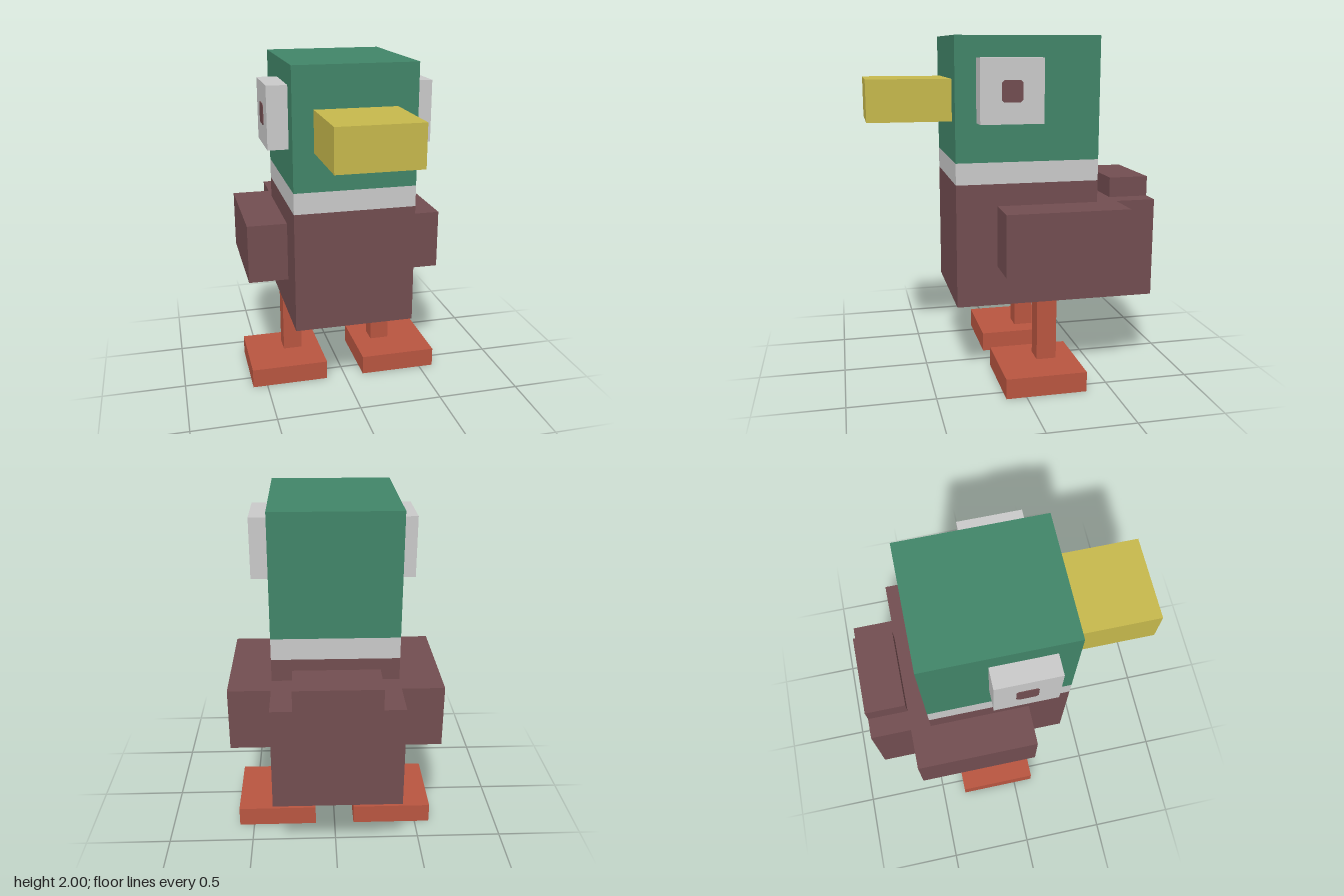
import * as THREE from 'three';

const U = 2 / 17; // one block unit

function material(name, color) {
  const m = new THREE.MeshStandardMaterial({ color });
  m.name = name;
  return m;
}

export function createModel() {
  const green = material('green', 0x418568);
  const brown = material('brown', 0x724d50);
  const white = material('white', 0xc9c9c9);
  const yellow = material('yellow', 0xc6b84c);
  const orange = material('orange', 0xb85540);

  const model = new THREE.Group();
  model.name = 'duck';

  // Box from minimum and maximum corners, in block units
  function block(name, mat, [x0, y0, z0], [x1, y1, z1]) {
    const geometry = new THREE.BoxGeometry((x1 - x0) * U, (y1 - y0) * U, (z1 - z0) * U);
    const mesh = new THREE.Mesh(geometry, mat);
    mesh.position.set((x0 + x1) / 2 * U, (y0 + y1) / 2 * U, (z0 + z1) / 2 * U);
    mesh.name = name;
    model.add(mesh);
  }

  // Body, tail and head column
  block('body', brown, [-3, 4.05, -7], [3, 9, 3]);
  block('tail', brown, [-2, 9, -7], [2, 10, -5]);
  block('neck', brown, [-3, 9, -4], [3, 10.08, 3]);
  block('collar', white, [-3, 10.08, -4], [3, 11.12, 3]);
  block('head', green, [-3, 11.12, -4], [3, 17, 3]);
  block('beak', yellow, [-2, 13, 3], [2, 15, 7]);

  // Pupil: thin square plate with clipped corners
  const h = 0.5 * U, c = h - 0.014;
  const pupilShape = new THREE.Shape([
    [c, -h], [h, -c], [h, c], [c, h], [-c, h], [-h, c], [-h, -c], [-c, -h],
  ].map(([x, y]) => new THREE.Vector2(x, y)));
  const pupilGeometry = new THREE.ExtrudeGeometry(pupilShape, { depth: 0.004, bevelEnabled: false });

  // Mirrored parts
  for (const [side, s] of [['left', 1], ['right', -1]]) {
    const pair = (name, mat, [x0, y0, z0], [x1, y1, z1]) => block(side + name, mat,
      [s > 0 ? x0 : -x1, y0, z0], [s > 0 ? x1 : -x0, y1, z1]);
    pair('Wing', brown, [3, 6, -5], [5, 9, 1]);
    pair('Eye', white, [3, 13, -1], [4, 16, 2]);
    pair('Leg', orange, [2, 1, -2], [3, 4.05, -1]);
    pair('Foot', orange, [1, 0, -3], [5, 1, 1]);

    const pupil = new THREE.Mesh(pupilGeometry, brown);
    pupil.name = side + 'Pupil';
    pupil.rotation.y = s * Math.PI / 2;
    pupil.position.set(s * 4 * U, 14.5 * U, 0.5 * U);
    model.add(pupil);
  }
  return model;
}
